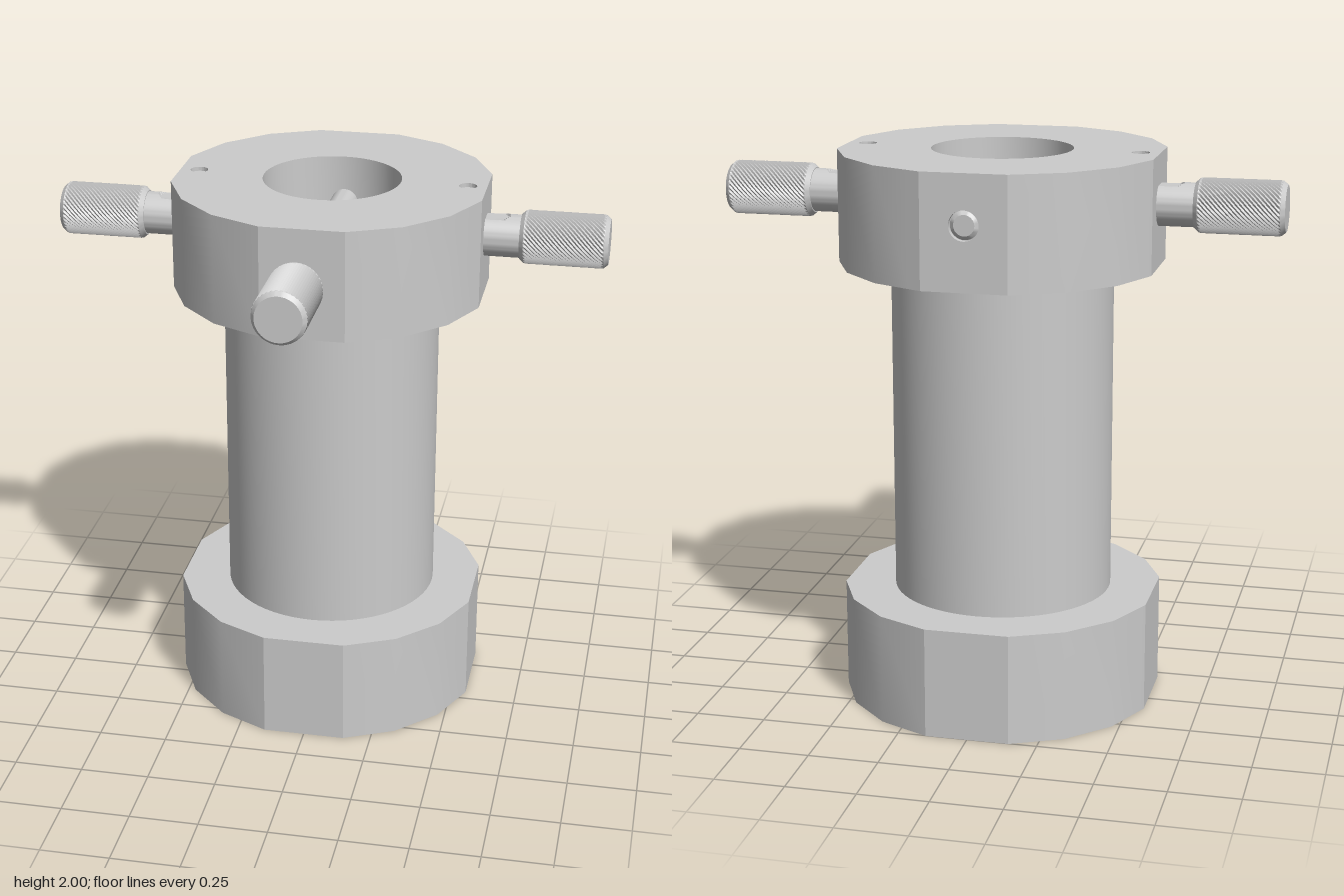
import * as THREE from 'three';
import { toCreasedNormals } from 'three/addons/utils/BufferGeometryUtils.js';

const HALF = 0.558;     // flange centre to flat
const RADIUS = 0.578;   // flange corner radius
const BORE = 0.25;
const AXIS_Z = -0.195;  // column axis
const SCREW_Y = 1.825;
const POCKET = 0.02;    // depth of the slab holding the rear hole

const grey = new THREE.MeshStandardMaterial({ color: 0xcccccc });
const faceted = new THREE.MeshStandardMaterial({ color: 0xcccccc, flatShading: true });

function add(parent, name, geometry, material = grey) {
  const mesh = new THREE.Mesh(geometry, material);
  mesh.name = name;
  parent.add(mesh);
  return mesh;
}

const lathe = (points, segments = 48) => toCreasedNormals(
  new THREE.LatheGeometry(points.map(([r, y]) => new THREE.Vector2(r, y)), segments), 0.4);

// Turned part lying along +x
const turnedX = (points, segments) => lathe(points, segments).rotateZ(-Math.PI / 2);

function circle(x, y, r) {
  const path = new THREE.Path();
  path.absarc(x, y, r, 0, Math.PI * 2, true);
  return path;
}

// Round plate with four flats, three facets between neighbouring flats
function flangePoints() {
  const points = [];
  for (let quarter = 0; quarter < 4; quarter++) {
    for (let k = 0; k < 4; k++) {
      const a = THREE.MathUtils.degToRad(quarter * 90 + 15 + k * 20);
      points.push(new THREE.Vector2(RADIUS * Math.cos(a), RADIUS * Math.sin(a)));
    }
  }
  return points;
}

function extrudeUp(points, holes, height) {
  const shape = new THREE.Shape(points);
  shape.holes.push(...holes);
  return new THREE.ExtrudeGeometry(shape, { depth: height, bevelEnabled: false, curveSegments: 24 })
    .rotateX(-Math.PI / 2);
}

function lowerFlange(parent) {
  const geometry = extrudeUp(flangePoints(), [circle(0, 0, 0.455)], 0.4);
  // Close the upper rim in around the tube
  const p = geometry.attributes.position;
  for (let i = 0; i < p.count; i++) {
    const r = Math.hypot(p.getX(i), p.getZ(i));
    if (p.getY(i) > 0.2 && r < 0.46) {
      p.setX(i, p.getX(i) * 0.38 / r);
      p.setZ(i, p.getZ(i) * 0.38 / r);
    }
  }
  add(parent, 'lowerFlange', toCreasedNormals(geometry, 0.4));
}

function upperFlange(parent) {
  const group = new THREE.Group();
  group.name = 'upperFlange';
  group.position.y = 1.6;
  parent.add(group);

  // Body, trimmed at the back to leave room for the drilled slab
  const points = flangePoints();
  const corner = points[3], next = points[2];
  const cutX = THREE.MathUtils.lerp(corner.x, next.x, POCKET / (corner.y - next.y));
  const flatX = corner.x;
  points[3].set(cutX, corner.y - POCKET);
  points[4].set(-cutX, points[4].y - POCKET);
  const holes = [circle(0, 0, BORE), circle(0.49, 0, 0.032), circle(-0.49, 0, 0.032)];
  add(group, 'flangeBody', toCreasedNormals(extrudeUp(points, holes, 0.4), 0.4));

  // Rear slab with the hole for the end of the long rod
  const face = new THREE.Shape([[-1, 0], [1, 0], [1, 0.4], [-1, 0.4]]
    .map(([s, y]) => new THREE.Vector2(s * flatX, y)));
  face.holes.push(circle(0, SCREW_Y - 1.6, 0.052));
  const slab = new THREE.ExtrudeGeometry(face, { depth: POCKET, bevelEnabled: false, curveSegments: 16 });
  const p = slab.attributes.position;
  for (let i = 0; i < p.count; i++) {
    if (p.getZ(i) > POCKET / 2 && Math.abs(p.getX(i)) > 0.1) p.setX(i, Math.sign(p.getX(i)) * cutX);
  }
  slab.translate(0, 0, -RADIUS * Math.cos(Math.PI / 12));
  add(group, 'rearSlab', toCreasedNormals(slab, 0.4));

  // Locating pins sunk just below the top face
  for (const side of [-1, 1]) {
    const pin = add(group, 'locatingPin', new THREE.CylinderGeometry(0.032, 0.032, 0.385, 24));
    pin.position.set(side * 0.49, 0.1925, 0);
  }
}

// Knurled thumb knob along +x
function knob(parent, start, end) {
  const group = new THREE.Group();
  group.name = 'thumbKnob';
  const r = 0.096, c = 0.015, around = 72, along = 36;
  add(group, 'innerEnd', turnedX([[0, start], [r - c, start], [r - 0.002, start + c]], around));
  add(group, 'outerEnd', turnedX([[r - 0.002, end - c], [r - c, end], [0, end]], around));
  const length = end - start - 2 * c;
  const grip = new THREE.CylinderGeometry(r, r, length, around, along, true);
  const p = grip.attributes.position;
  for (let i = 0; i < p.count; i++) {
    const row = Math.floor(i / (around + 1)), col = i % (around + 1);
    const rim = row === 0 || row === along;
    const k = (r - (rim ? 0.002 : (row + col) % 2 ? 0.005 : 0)) / r;
    p.setX(i, p.getX(i) * k);
    p.setZ(i, p.getZ(i) * k);
  }
  grip.rotateZ(-Math.PI / 2).translate((start + end) / 2, 0, 0);
  add(group, 'knurledGrip', grip, faceted);
  parent.add(group);
}

// Sleeve with a round-ended flat slot on top
function slottedSleeve(parent) {
  const sleeve = new THREE.CylinderGeometry(0.077, 0.077, 0.17, 64, 34)
    .rotateZ(-Math.PI / 2).translate(0.615, 0, 0);
  const p = sleeve.attributes.position;
  for (let i = 0; i < p.count; i++) {
    const z = p.getZ(i);
    const slotEnd = 0.605 + Math.sqrt(Math.max(0, 0.036 ** 2 - z * z));
    if (p.getY(i) > 0.067 && p.getX(i) < slotEnd) p.setY(i, 0.067);
  }
  add(parent, 'slottedSleeve', toCreasedNormals(sleeve, 0.4));
}

function screw(parent, name, turn) {
  const group = new THREE.Group();
  group.name = name;
  group.position.y = SCREW_Y;
  group.rotation.y = turn;
  parent.add(group);
  return group;
}

export function createModel() {
  const model = new THREE.Group();
  model.name = 'clampColumn';
  const body = new THREE.Group();
  body.name = 'body';
  body.position.z = AXIS_Z;
  model.add(body);

  lowerFlange(body);
  upperFlange(body);

  // Column tube and its bore, flared at the bottom
  add(body, 'tube', lathe([[0.395, 0.4], [0.395, 1.6]], 64));
  add(body, 'flaredBore', lathe([[BORE, 1.6], [BORE, 0.27], [0.455, 0]]));

  // Two side screws with short tips in the bore
  for (const [name, turn] of [['leftScrew', 0], ['rightScrew', Math.PI]]) {
    const side = screw(body, name, turn);
    add(side, 'screwTip', turnedX([[0, 0.145], [0.042, 0.145], [0.048, 0.151], [0.048, 0.55]], 32));
    slottedSleeve(side);
    knob(side, 0.685, 0.98 + 0.02);
  }

  // Front screw whose long rod crosses the bore to the back
  const front = screw(body, 'frontScrew', -Math.PI / 2);
  add(front, 'longRod', turnedX([[0, -0.552], [0.036, -0.552], [0.05, -0.54], [0.05, 0.66]], 32));
  knob(front, 0.645, 0.943);

  return model;
}
